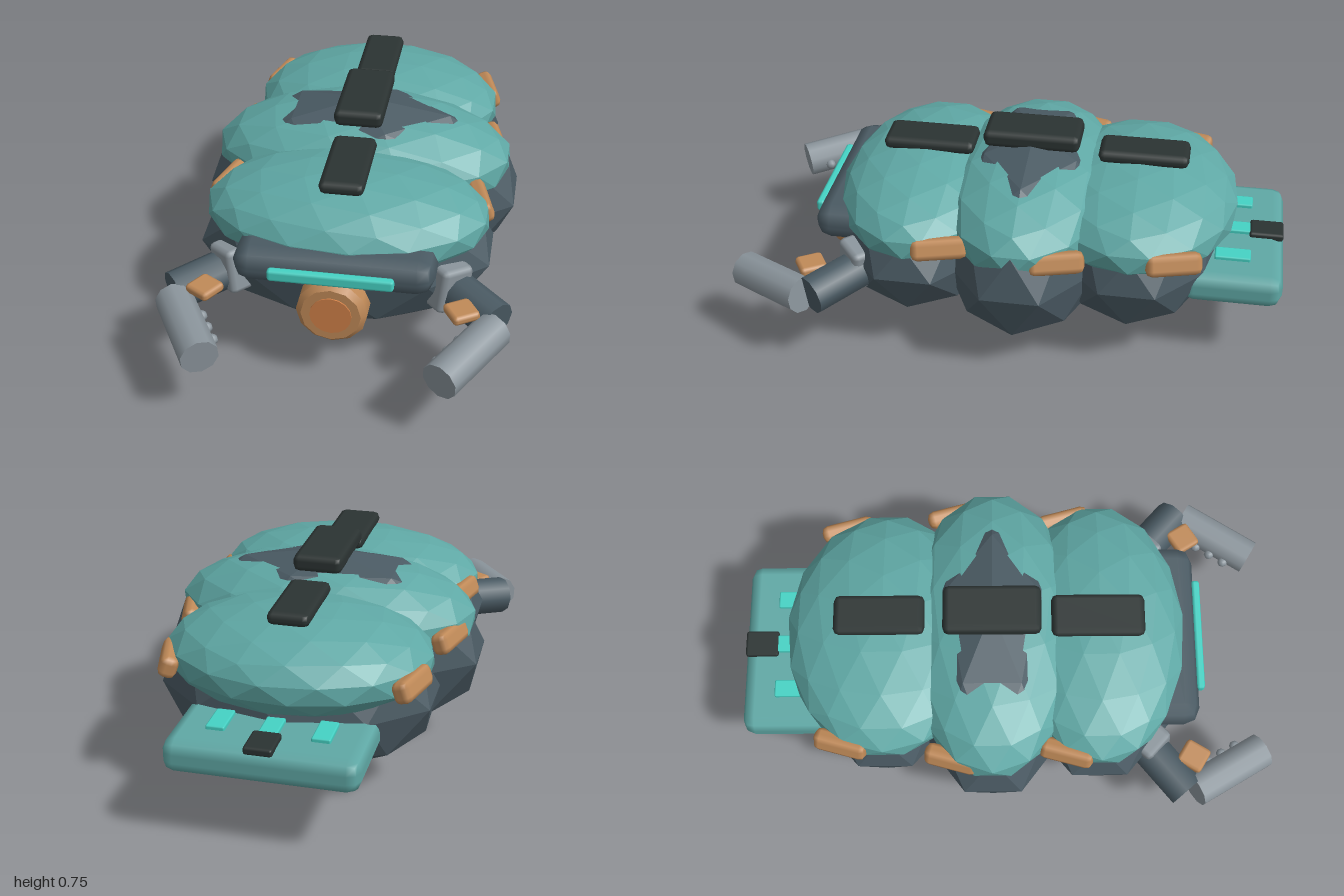
import * as THREE from 'three';
import { RoundedBoxGeometry } from 'three/addons/geometries/RoundedBoxGeometry.js';

const mat = (name, color) => {
  const m = new THREE.MeshStandardMaterial({ color });
  m.name = name;
  return m;
};

export function createModel() {
  const hull = mat('slate hull', 0x4a5a63);
  const teal = mat('teal armour', 0x5fa8a5);
  const orange = mat('copper trim', 0xc08a58);
  const lensCol = mat('bright orange lens', 0xd08048);
  const cyan = mat('cyan light', 0x45d2c4);
  const black = mat('black pad', 0x2b3332);
  const grey = mat('light grey metal', 0x8a949b);

  const model = new THREE.Group();
  model.name = 'segmentedCrawler';

  function add(name, geometry, material, pos = [0, 0, 0], rot = [0, 0, 0]) {
    const mesh = new THREE.Mesh(geometry, material);
    mesh.name = name;
    mesh.position.set(...pos);
    mesh.rotation.set(...rot);
    model.add(mesh);
    return mesh;
  }

  // Faceted ellipsoid with a vertex at each pole
  function ellipsoid(rx, ry, rz, detail) {
    const g = new THREE.IcosahedronGeometry(1, detail);
    g.rotateX(-Math.atan((1 + Math.sqrt(5)) / 2));
    g.rotateY(Math.PI / 2);
    g.scale(rx, ry, rz);
    g.computeVertexNormals();
    return g;
  }

  // Box with chamfered edges
  const bevelBox = (w, h, d, r) => new RoundedBoxGeometry(w, h, d, 1, r);

  // Cylinder running between two points
  function rod(name, a, b, r, sides, material) {
    const p = new THREE.Vector3(...a), q = new THREE.Vector3(...b);
    const mesh = add(name, new THREE.CylinderGeometry(r, r, p.distanceTo(q), sides), material);
    mesh.position.copy(p).lerp(q, 0.5);
    mesh.quaternion.setFromUnitVectors(new THREE.Vector3(0, 1, 0), q.clone().sub(p).normalize());
    return mesh;
  }

  // Body segments, each with an armour shell, a top pad and two side pads
  const segments = [
    { name: 'front', z: 0.34, body: [0.545, 0.29, 0.33], shell: [0.515, 0.172, 0.325], shellY: 0.483,
      pad: [0.16, 0.05, 0.34], padPos: [0.66, 0.33], side: [0.465, 0.215] },
    { name: 'middle', z: -0.055, body: [0.61, 0.36, 0.34], shell: [0.565, 0.205, 0.33], shellY: 0.49,
      pad: [0.18, 0.065, 0.355], padPos: [0.718, -0.055], side: [0.487, -0.205] },
    { name: 'rear', z: -0.455, body: [0.505, 0.3, 0.325], shell: [0.48, 0.178, 0.37], shellY: 0.485,
      pad: [0.15, 0.05, 0.33], padPos: [0.672, -0.465], side: [0.428, -0.61] },
  ];
  for (const s of segments) {
    add(s.name + 'Body', ellipsoid(...s.body, 1), hull, [0, s.body[1] + [0.07, 0, 0.06][segments.indexOf(s)], s.z]);
    add(s.name + 'Shell', ellipsoid(...s.shell, 2), teal, [0, s.shellY, s.z]);
    add(s.name + 'TopPad', bevelBox(...s.pad, 0.023), black, [0, ...s.padPos]);
    for (const m of [1, -1]) {
      add(s.name + 'SidePad', bevelBox(0.065, 0.08, 0.2, 0.024), orange,
        [m * s.side[0], 0.482, s.side[1]], [0, m * 0.27, m * 0.35]);
    }
  }

  // Head: brow, light bar and round lens
  add('brow', bevelBox(0.7, 0.13, 0.22, 0.06), hull, [0, 0.447, 0.6]);
  add('lightBar', bevelBox(0.435, 0.045, 0.032, 0.012), cyan, [0, 0.447, 0.719]);
  const ring = new THREE.LatheGeometry(
    [[0, 0.17], [0.105, 0.17], [0.105, 0.17], [0.125, 0.15], [0.125, 0.15], [0.125, 0]]
      .map(([r, y]) => new THREE.Vector2(r, y)).reverse(), 12);
  add('lensRing', ring, orange, [0, 0.295, 0.55], [Math.PI / 2, 0, 0]);
  rod('lens', [0, 0.295, 0.7], [0, 0.295, 0.725], 0.073, 16, lensCol);

  // Arms, mirrored
  for (const m of [1, -1]) {
    add('shoulder', bevelBox(0.13, 0.17, 0.16, 0.02), grey, [m * 0.365, 0.335, 0.515], [0, m * 0.75, m * -0.15]);
    rod('upperArm', [m * 0.39, 0.32, 0.52], [m * 0.565, 0.295, 0.67], 0.073, 10, hull);
    add('elbowPlate', bevelBox(0.1, 0.035, 0.1, 0.014), orange, [m * 0.445, 0.345, 0.695], [0, m * 0.55, 0]);

    const start = [m * 0.558, 0.288, 0.7], end = [m * 0.4, 0.262, 0.965];
    rod('forearm', start, end, 0.068, 10, grey);
    // Studs along the inner side of the forearm
    for (const t of [0.35, 0.55, 0.75]) {
      const [x, y, z] = start.map((v, i) => THREE.MathUtils.lerp(v, end[i], t));
      add('forearmStud', new THREE.SphereGeometry(0.02, 8, 6), grey, [x - m * 0.058, y - 0.01, z - 0.035]);
    }
  }

  // Tail plate with lights
  add('tailPlate', bevelBox(0.67, 0.12, 0.36, 0.045), teal, [0, 0.31, -0.82]);
  add('tailPad', bevelBox(0.1, 0.03, 0.125, 0.01), black, [0, 0.373, -0.935]);
  for (const x of [-0.18, 0, 0.18]) {
    add('tailLight', bevelBox(0.066, 0.022, 0.13, 0.006), cyan, [x, 0.373, -0.815]);
  }

  return model;
}
